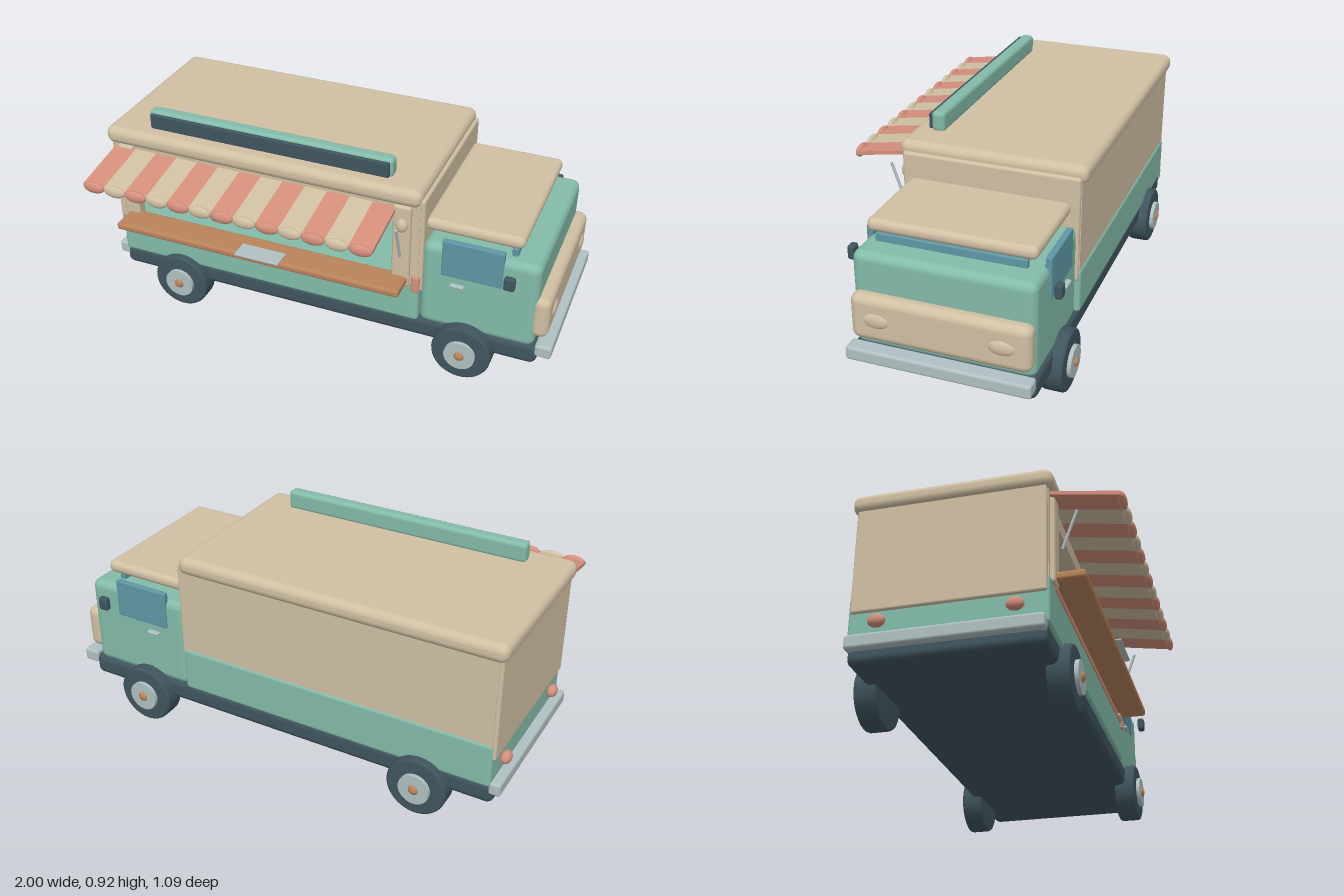
import * as THREE from 'three';
import { RoundedBoxGeometry } from 'three/addons/geometries/RoundedBoxGeometry.js';

const paint = (name, color) => {
  const m = new THREE.MeshStandardMaterial({ color });
  m.name = name;
  return m;
};

export function createModel() {
  const mint = paint('mint', 0x83bba9), cream = paint('cream', 0xd0c0a3), coral = paint('coral', 0xd48f7c);
  const slate = paint('slate', 0x40555e), glass = paint('glass', 0x5f97a5), steel = paint('steel', 0xb0c0c2);
  const wood = paint('wood', 0xb9835a);
  const model = new THREE.Group();
  model.name = 'foodTruck';
  const MID = -0.107; // centre line of the truck body

  const add = (name, geo, mat, x = 0, y = 0, z = 0, parent = model) => {
    const mesh = new THREE.Mesh(geo, mat);
    mesh.name = name;
    mesh.position.set(x, y, z);
    parent.add(mesh);
    return mesh;
  };
  // Box given by its limits; r > 0 rounds the edges
  const box = (name, mat, [x0, x1], [y0, y1], [z0, z1], r = 0) => {
    const s = [x1 - x0, y1 - y0, z1 - z0];
    const geo = r ? new RoundedBoxGeometry(...s, 3, r) : new THREE.BoxGeometry(...s);
    return add(name, geo, mat, (x0 + x1) / 2, (y0 + y1) / 2, (z0 + z1) / 2);
  };
  const ellipsoid = (name, mat, x, y, z, rx, ry, rz) => {
    const mesh = add(name, new THREE.SphereGeometry(1, 24, 16), mat, x, y, z);
    mesh.scale.set(rx, ry, rz);
    return mesh;
  };
  // Thin round bar between two points
  const rod = (name, mat, a, b, r) => {
    const p = new THREE.Vector3(...a), q = new THREE.Vector3(...b);
    const mesh = add(name, new THREE.CylinderGeometry(r, r, p.distanceTo(q), 10), mat);
    mesh.position.copy(p).lerp(q, 0.5);
    mesh.quaternion.setFromUnitVectors(new THREE.Vector3(0, 1, 0), q.sub(p).normalize());
    return mesh;
  };

  // Chassis and bumpers
  box('chassis', slate, [-0.97, 0.94], [0.127, 0.225], [-0.476, 0.262], 0.03);
  box('frontBumper', steel, [0.93, 1], [0.178, 0.235], [-0.476, 0.262], 0.012);
  box('rearBumper', steel, [-1, -0.95], [0.178, 0.235], [-0.476, 0.262], 0.012);

  // Kitchen body: solid base, back, end walls and the frame of the serving hatch
  box('lowerBody', mint, [-0.96, 0.435], [0.212, 0.405], [-0.483, 0.27], 0.015);
  box('backWall', cream, [-0.955, 0.43], [0.38, 0.79], [-0.477, -0.44]);
  box('rearWall', cream, [-0.97, -0.93], [0.335, 0.79], [-0.474, 0.262], 0.01);
  box('forwardWall', cream, [0.405, 0.446], [0.36, 0.802], [-0.474, 0.262], 0.012);
  box('hatchLintel', cream, [-0.95, 0.43], [0.69, 0.79], [0.235, 0.265]);
  box('rearPillar', cream, [-0.95, -0.86], [0.39, 0.78], [0.235, 0.265]);
  box('forwardPillar', cream, [0.335, 0.43], [0.39, 0.78], [0.235, 0.265]);
  box('rearPost', cream, [-0.93, -0.857], [0.385, 0.77], [0.25, 0.283], 0.012);
  box('forwardPost', cream, [0.318, 0.395], [0.385, 0.77], [0.25, 0.283], 0.012);
  box('hatchTrim', coral, [-0.88, 0.39], [0.38, 0.41], [0.255, 0.275]);
  box('sideMarker', coral, [0.402, 0.438], [0.36, 0.44], [0.252, 0.277], 0.01);
  ellipsoid('sideLamp', cream, 0.36, 0.685, 0.285, 0.025, 0.031, 0.02);
  box('roof', cream, [-0.985, 0.432], [0.765, 0.843], [-0.495, 0.285], 0.034);
  box('roofSign', mint, [-0.805, 0.288], [0.835, 0.92], [0.148, 0.205], 0.018);
  box('roofSignPanel', slate, [-0.793, 0.276], [0.843, 0.908], [0.2, 0.219], 0.005);

  // Serving counter with tray
  box('counter', wood, [-0.912, 0.388], [0.402, 0.436], [0.255, 0.39], 0.012);
  box('tray', steel, [-0.33, -0.13], [0.434, 0.443], [0.325, 0.41], 0.004);

  // Striped awning with scalloped edge and two stays
  const stripes = 13, pitch = 1.275 / stripes;
  for (let i = 0; i < stripes; i++) {
    const mat = i % 2 ? cream : coral, x = -0.945 + pitch * (i + 0.5);
    add('awningStripe', new THREE.BoxGeometry(pitch, 0.016, 0.262), mat, x, 0.728, 0.398).rotation.x = 0.165;
    ellipsoid('awningScallop', mat, x, 0.704, 0.528, pitch / 2, 0.026, 0.016);
  }
  for (const x of [-0.876, 0.36]) {
    rod('awningStay', steel, [x, 0.705, 0.354], [x, 0.545, 0.298], 0.006);
  }

  // Goods inside the hatch
  for (const y of [0.6, 0.465]) box('shelf', wood, [-0.855, -0.088], [y - 0.01, y + 0.01], [-0.445, -0.33], 0.006);
  for (let i = 0; i < 6; i++) {
    const x = -0.795 + i * 0.108, mat = i % 2 ? cream : coral;
    add('cup', new THREE.CylinderGeometry(0.023, 0.017, 0.06, 16), mat, x, 0.64, -0.38);
    add('cupLid', new THREE.CylinderGeometry(0.027, 0.027, 0.01, 16), mat, x, 0.673, -0.38);
  }
  for (let i = 0; i < 4; i++) {
    ellipsoid('bun', i % 2 ? coral : cream, -0.82 + i * 0.094, 0.436, 0.17, 0.03, 0.028, 0.03);
  }
  for (let i = 0; i < 3; i++) {
    const x = 0.01 + i * 0.092;
    box('snackBox', coral, [x - 0.031, x + 0.031], [0.47, 0.515], [-0.44, -0.39], 0.008);
    for (let k = -2; k <= 2; k++) {
      rod('snackStick', wood, [x + k * 0.009, 0.5, -0.415], [x + k * 0.015, 0.558, -0.415], 0.004);
    }
  }

  // Cab
  box('cab', mint, [0.435, 0.922], [0.205, 0.603], [-0.467, 0.256], 0.035);
  box('cabRoof', cream, [0.435, 0.84], [0.648, 0.702], [-0.44, 0.23], 0.025);
  box('windshield', glass, [0.79, 0.815], [0.46, 0.637], [-0.396, 0.205], 0.006);
  box('grillePanel', cream, [0.895, 0.972], [0.258, 0.45], [-0.465, 0.25], 0.034);
  for (const side of [1, -1]) {
    const span = (a, b) => [MID + side * a, MID + side * b].sort((p, q) => p - q);
    box('sideWindow', glass, [0.522, 0.775], [0.472, 0.638], span(0.342, 0.368), 0.005);
    box('mirror', slate, [0.79, 0.835], [0.51, 0.568], span(0.395, 0.425), 0.01);
    box('doorHandle', steel, [0.565, 0.622], [0.429, 0.441], span(0.355, 0.38), 0.005);
    ellipsoid('headlight', cream, 0.968, 0.355, MID + side * 0.247, 0.014, 0.031, 0.053);
    ellipsoid('tailLight', coral, -0.975, 0.29, MID + side * 0.257, 0.022, 0.026, 0.034);

    // Wheels: tyre turned from a profile, with hub and cap
    const tyre = [[0, -0.046], [0.116, -0.046], [0.124, -0.042], [0.127, -0.034],
      [0.127, 0.034], [0.124, 0.042], [0.116, 0.046], [0, 0.046]].map((p) => new THREE.Vector2(...p));
    for (const x of [-0.67, 0.637]) {
      const wheel = new THREE.Group();
      wheel.name = 'wheel';
      wheel.position.set(x, 0.127, MID + side * 0.365);
      wheel.rotation.x = side * Math.PI / 2;
      model.add(wheel);
      add('tyre', new THREE.LatheGeometry(tyre, 40), slate, 0, 0, 0, wheel);
      add('hub', new THREE.CylinderGeometry(0.066, 0.066, 0.03, 32), steel, 0, 0.047, 0, wheel);
      add('hubCap', new THREE.SphereGeometry(0.025, 20, 12), wood, 0, 0.05, 0, wheel);
    }
  }
  return model;
}
